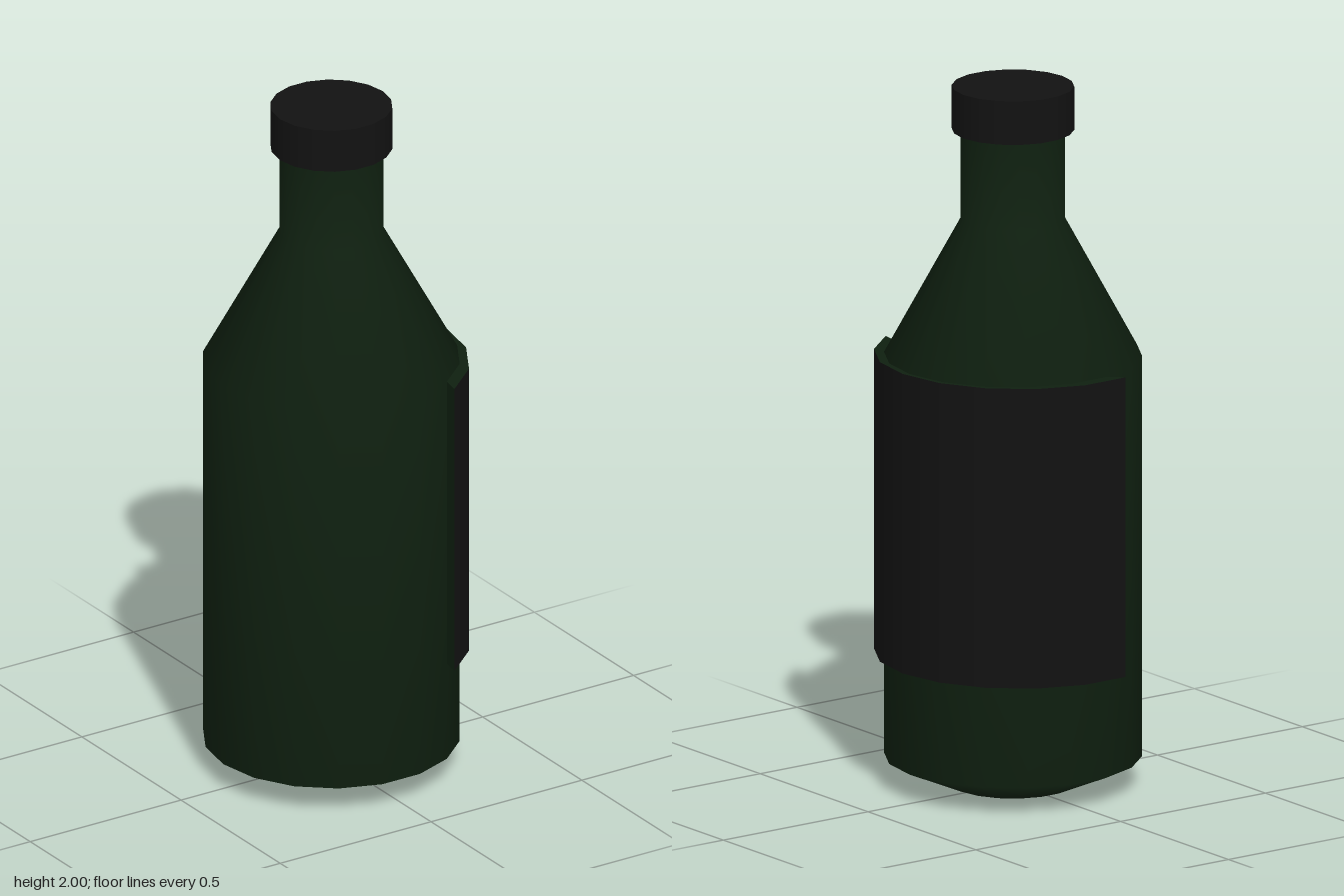
import * as THREE from 'three';

const SIDES = 18;
const STEP = (Math.PI * 2) / SIDES;

export function createModel() {
  const model = new THREE.Group();
  model.name = 'bottle';
  const glass = new THREE.MeshStandardMaterial({ color: 0x0f2010 });
  const black = new THREE.MeshStandardMaterial({ color: 0x121212 });

  const add = (name, geometry, material, x, y, z) => {
    const mesh = new THREE.Mesh(geometry, material);
    mesh.name = name;
    mesh.position.set(x, y, z);
    model.add(mesh);
  };

  // The bottle axis sits slightly off centre, as the label juts out to one side
  const cx = -0.009, cz = 0.011, bodyRadius = 0.358;

  // Glass body: chamfered base, straight wall, sloping shoulder, neck
  const profile = [
    [0, 0], [0.175, 0], [bodyRadius, 0.08], [bodyRadius, 1.23], [0.145, 1.62], [0.145, 1.89],
  ].map(([r, y]) => new THREE.Vector2(r, y));
  add('body', new THREE.LatheGeometry(profile, SIDES, Math.PI / 2), glass, cx, 0, cz);

  // Cap, with the glass colour on its underside
  add('cap', new THREE.CylinderGeometry(0.17, 0.17, 0.125, SIDES, 1, false, Math.PI / 2),
    [black, black, glass], cx, 1.9375, cz);

  // Label: a raised sheet around eight sides of the body
  const lx = -0.04, lz = 0.022, labelRadius = 0.404;
  const low = 0.37, high = 1.23, count = 8, start = Math.PI / 6;
  add('label', new THREE.CylinderGeometry(labelRadius, labelRadius, high - low, count, 1, true, start, count * STEP),
    black, lx, (low + high) / 2, lz);

  // Rim joining the label's edges to the body
  const inner = (i, y) => {
    const a = start + i * STEP;
    return [cx + bodyRadius * Math.sin(a), y, cz + bodyRadius * Math.cos(a)];
  };
  const outer = (i, y) => {
    const a = start + i * STEP;
    return [lx + labelRadius * Math.sin(a), y, lz + labelRadius * Math.cos(a)];
  };
  const positions = [];
  const quad = (a, b, c, d) => positions.push(...a, ...b, ...c, ...a, ...c, ...d);
  for (let i = 0; i < count; i++) {
    quad(inner(i, high), outer(i, high), outer(i + 1, high), inner(i + 1, high));
    quad(inner(i + 1, low), outer(i + 1, low), outer(i, low), inner(i, low));
  }
  quad(inner(0, low), outer(0, low), outer(0, high), inner(0, high));
  quad(inner(count, high), outer(count, high), outer(count, low), inner(count, low));
  const rim = new THREE.BufferGeometry();
  rim.setAttribute('position', new THREE.Float32BufferAttribute(positions, 3));
  rim.computeVertexNormals();
  add('labelRim', rim, glass, 0, 0, 0);

  return model;
}
